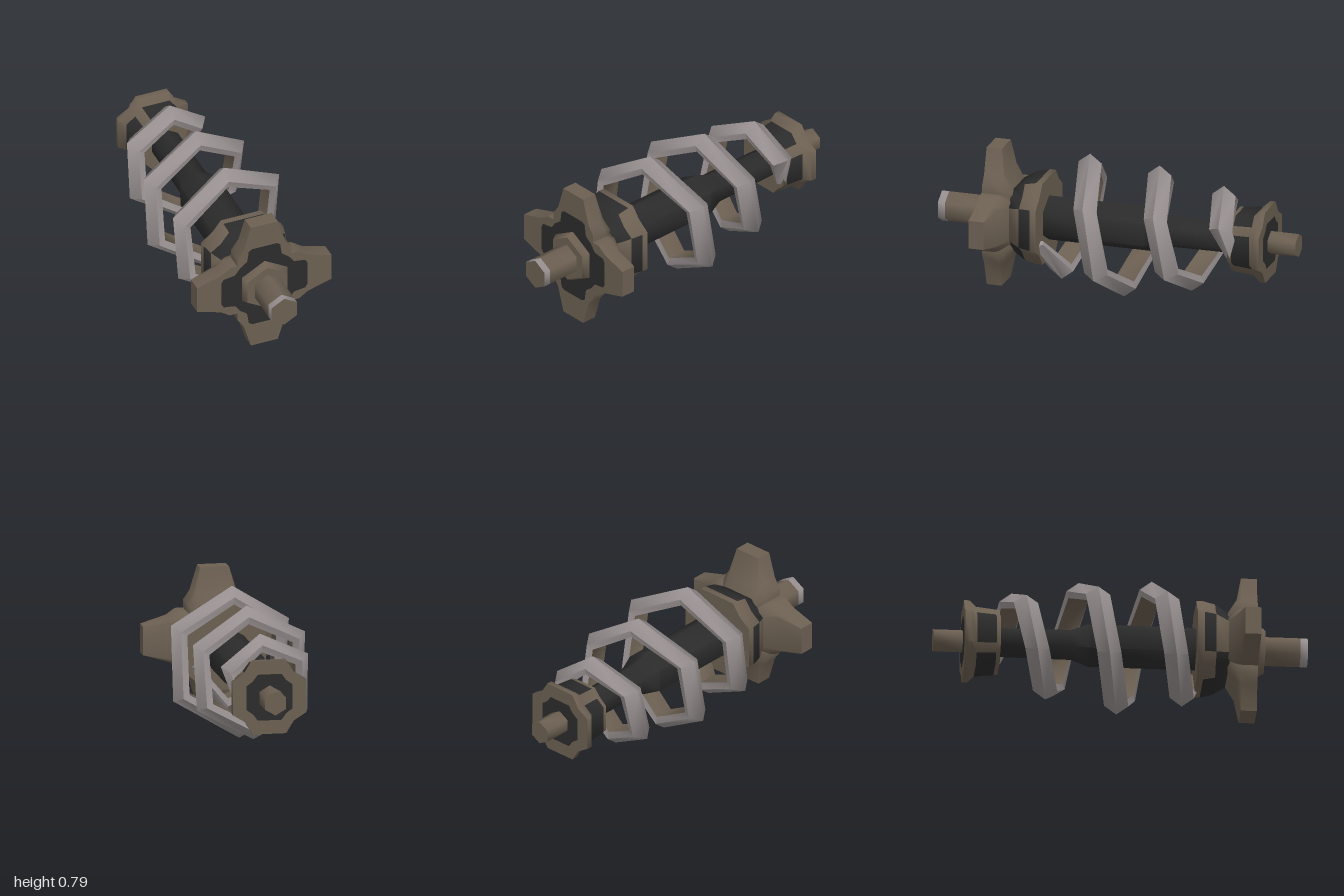
import * as THREE from 'three';
import { toCreasedNormals } from 'three/addons/utils/BufferGeometryUtils.js';

const AXIS = 0.4; // height of the long axis
const mat = (name, color) => {
  const m = new THREE.MeshStandardMaterial({ color });
  m.name = name;
  return m;
};

// Skin closed cross-sections in order; pick(i, j) gives the material index of a face, i = -1 / 'end' for the caps.
function loft(name, rings, materials, pick = () => 0) {
  const n = rings[0].length;
  const pos = [], faces = materials.map(() => []);
  rings.forEach(r => r.forEach(p => pos.push(...p)));
  for (let i = 0; i < rings.length - 1; i++) {
    for (let j = 0; j < n; j++) {
      const a = i * n + j, b = i * n + (j + 1) % n;
      faces[pick(i, j)].push(a, b, b + n, a, b + n, a + n);
    }
  }
  [[0, -1], [rings.length - 1, 'end']].forEach(([i, key]) => {
    const c = pos.length / 3;
    pos.push(...[0, 1, 2].map(k => rings[i].reduce((s, p) => s + p[k], 0) / n));
    for (let j = 0; j < n; j++) {
      const a = i * n + j, b = i * n + (j + 1) % n;
      faces[pick(key, j)].push(...(key === 'end' ? [c, a, b] : [c, b, a]));
    }
  });
  const g = new THREE.BufferGeometry();
  g.setAttribute('position', new THREE.Float32BufferAttribute(pos, 3));
  g.setIndex(faces.flat());
  let start = 0;
  faces.forEach((f, k) => { g.addGroup(start, f.length, k); start += f.length; });
  const mesh = new THREE.Mesh(toCreasedNormals(g, 1.08), materials);
  mesh.name = name;
  return mesh;
}

// Hexagon with a corner pointing up
const hex = (r, z) => Array.from({ length: 6 }, (_, i) => {
  const a = Math.PI / 6 + i * Math.PI / 3;
  return [r * Math.cos(a), r * Math.sin(a), z];
});

// Repeat one lobe's points (around +x) four times about the axis
const fourfold = (pts, z) => [0, 1, 2, 3].flatMap(q => {
  const c = [1, 0, -1, 0][q], s = [0, 1, 0, -1][q];
  return pts.map(([x, y]) => [x * c - y * s, x * s + y * c, z]);
});
const lobed = (tip, half, notch, z) => fourfold([[tip, -half], [tip, half], [notch, notch]], z);
const toothed = (tip, half, k, z) => fourfold([
  [0.2 * k, -0.155 * k], [Math.min(0.25 * k, tip), -0.12 * k], [tip, -half],
  [tip, half], [Math.min(0.25 * k, tip), 0.12 * k], [0.2 * k, 0.155 * k], [0.155 * k, 0.155 * k]], z);

export function createModel() {
  const model = new THREE.Group();
  model.name = 'auger';
  const body = new THREE.Group();
  body.name = 'augerBody';
  body.position.y = AXIS;
  model.add(body);

  const brown = mat('bronze', 0x6b5f51);
  const dark = mat('darkIron', 0x2b2b2b);
  const grey = mat('steel', 0x989090);

  // Core shaft, thinner towards the back
  body.add(loft('coreShaft', [hex(0.085, -0.68), hex(0.088, -0.26), hex(0.125, -0.17), hex(0.125, 0.45)], [dark]));

  // Axle stubs and front hub
  body.add(loft('frontAxle', [hex(0.085, 0.72), hex(0.085, 0.96), hex(0.085, 1)], [brown, grey],
    i => (i === 1 ? 1 : 0)));
  body.add(loft('backAxle', [hex(0.065, -1), hex(0.065, -0.82)], [brown]));
  body.add(loft('frontHub', [hex(0.155, 0.71), hex(0.15, 0.735), hex(0.132, 0.768)], [brown]));

  // Four-toothed gear, its teeth thin at the tips
  body.add(loft('gear', [
    toothed(0.17, 0.09, 0.75, 0.565), toothed(0.25, 0.1, 0.95, 0.615),
    toothed(0.388, 0.078, 1, 0.64), toothed(0.388, 0.078, 1, 0.725)], [brown]));

  // Dark paint on the gear face
  const paint = [[0.17, -0.1], [0.2, -0.095], [0.235, -0.09], [0.247, -0.07], [0.247, 0.07],
    [0.235, 0.09], [0.2, 0.095], [0.17, 0.1], [0.14, 0.14]];
  body.add(loft('gearFacePaint', [fourfold(paint, 0.722), fourfold(paint, 0.728)], [dark]));

  // Front collar: painted lobes, bare rim and notches
  body.add(loft('frontCollar', [
    lobed(0.23, 0.115, 0.165, 0.4), lobed(0.23, 0.115, 0.165, 0.435),
    lobed(0.215, 0.11, 0.155, 0.5), lobed(0.172, 0.09, 0.13, 0.575)], [brown, dark],
  (i, j) => ((i === 1 && j % 3 === 0) || (i === 2 && j !== 0 && j !== 6) ? 1 : 0)));

  // Back collar: painted sleeve and bare flange
  body.add(loft('backCollar', [
    lobed(0.2, 0.09, 0.132, -0.84), lobed(0.2, 0.09, 0.132, -0.81), lobed(0.168, 0.08, 0.118, -0.775),
    lobed(0.158, 0.075, 0.112, -0.67), lobed(0.156, 0.075, 0.112, -0.648)], [brown, dark],
  (i, j) => (i === 2 && j % 3 !== 1 ? 1 : 0)));
  body.add(loft('backFacePaint', [lobed(0.125, 0.065, 0.09, -0.843), lobed(0.125, 0.065, 0.09, -0.838)], [dark]));

  // Spiral blade: six corners per turn, given as [outer radius, z]
  const path = [[0.22, 0.42], [0.34, 0.33], [0.36, 0.28], [0.37, 0.23], [0.388, 0.17], [0.4, 0.1],
    [0.4, 0.04], [0.4, -0.02], [0.39, -0.08], [0.385, -0.14], [0.365, -0.22], [0.35, -0.28],
    [0.34, -0.34], [0.325, -0.4], [0.325, -0.46], [0.315, -0.52], [0.29, -0.58], [0.255, -0.62], [0.17, -0.67]];
  // Section as [inward, along z] with a ridge on the outside
  const section = [[0, 0], [0.05, 0.065], [0.09, 0.055], [0.09, -0.055], [0.05, -0.065]];
  const rings = path.map(([r, z], i) => {
    const a = -Math.PI / 6 - i * Math.PI / 3;
    const size = i === 0 || i === path.length - 1 ? 0.6 : 1;
    return section.map(([d, w]) => [
      (r - d * size) * Math.cos(a), (r - d * size) * Math.sin(a), z + w * size]);
  });
  body.add(loft('spiralBlade', rings, [grey, brown], (i, j) => (j === 2 && i !== -1 && i !== 'end' ? 1 : 0)));

  return model;
}
